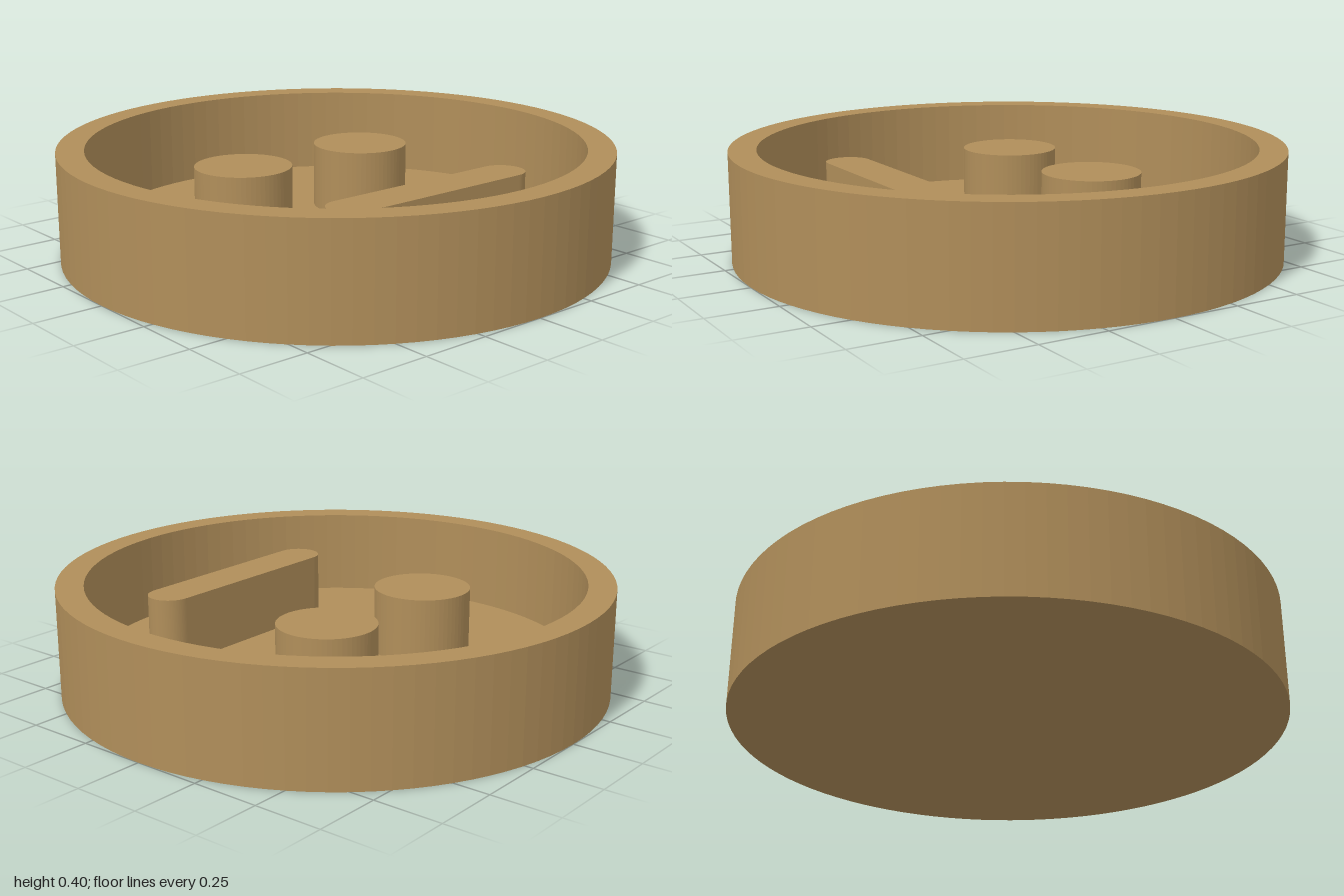
import * as THREE from 'three';

export function createModel() {
  const model = new THREE.Group();
  model.name = 'faceMould';
  const tan = new THREE.MeshStandardMaterial({ color: 0xb08e5a, flatShading: true });
  tan.name = 'tan';

  const floorY = 0.08;
  const reliefHeight = 0.24;

  const add = (name, geometry, x, y, z) => {
    const mesh = new THREE.Mesh(geometry, tan);
    mesh.name = name;
    mesh.position.set(x, y, z);
    model.add(mesh);
  };

  // Round tray: underside, outer wall, flat rim, inner wall and floor
  const profile = [[0, 0], [1, 0], [1, 0.4], [0.9, 0.4], [0.9, floorY], [0, floorY]]
    .map(([r, y]) => new THREE.Vector2(r, y));
  add('tray', new THREE.LatheGeometry(profile, 96), 0, 0, 0);

  // Eye posts, standing on the floor
  const eye = new THREE.CylinderGeometry(0.177, 0.177, reliefHeight, 64);
  add('leftEye', eye, 0.273, floorY + reliefHeight / 2, -0.18);
  add('rightEye', eye, -0.286, floorY + reliefHeight / 2, -0.18);

  // Mouth bar with rounded ends
  const r = 0.081;
  const half = 0.44 - r;
  const bar = new THREE.Shape();
  bar.absarc(half, 0, r, -Math.PI / 2, Math.PI / 2, false);
  bar.absarc(-half, 0, r, Math.PI / 2, Math.PI * 1.5, false);
  const mouth = new THREE.ExtrudeGeometry(bar, { depth: reliefHeight, bevelEnabled: false, curveSegments: 24 });
  mouth.rotateX(-Math.PI / 2);
  add('mouth', mouth, 0.012, floorY, 0.477);

  return model;
}
